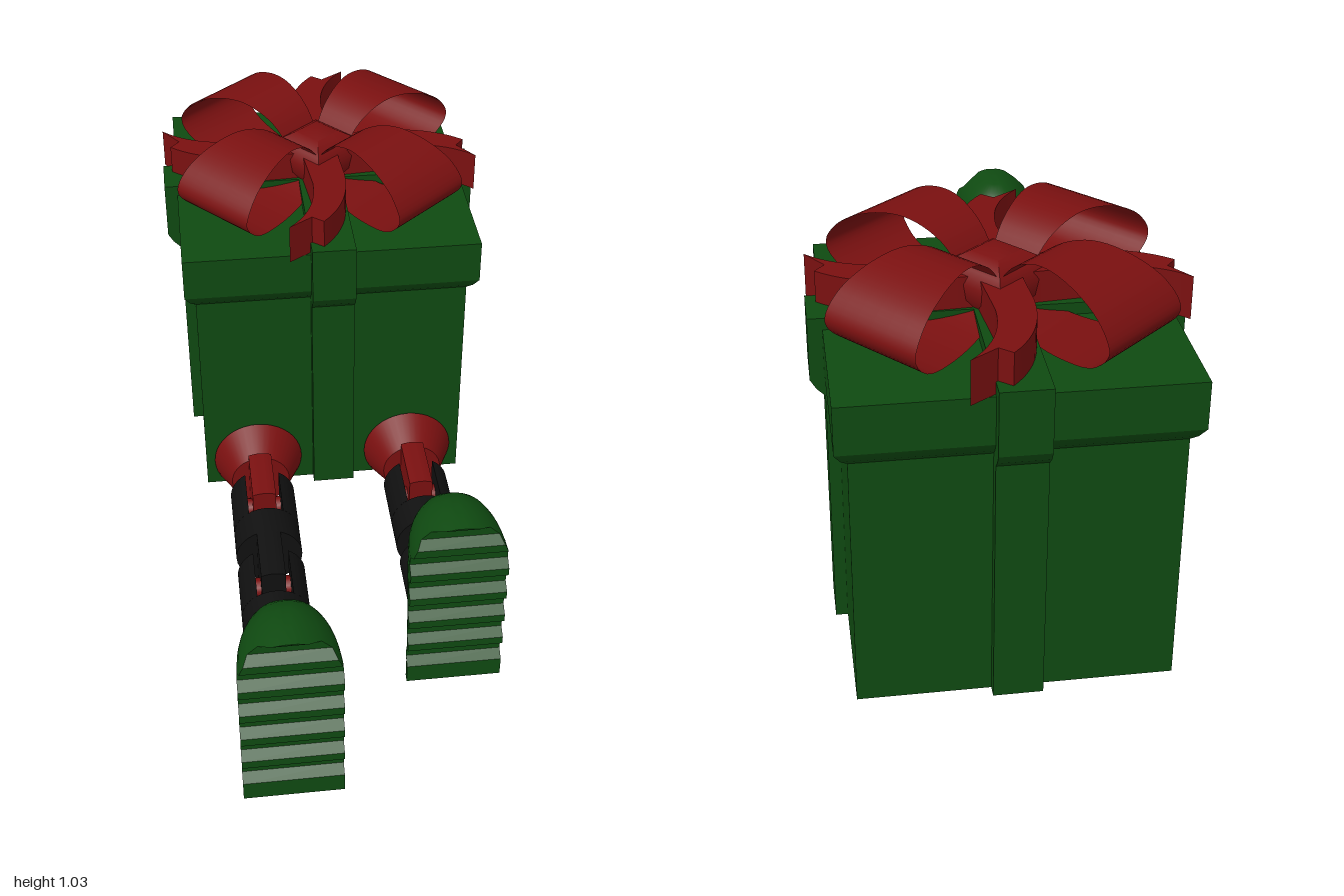
import * as THREE from 'three';
import { toCreasedNormals } from 'three/addons/utils/BufferGeometryUtils.js';
import { ParametricGeometry } from 'three/addons/geometries/ParametricGeometry.js';

const green = new THREE.MeshStandardMaterial({ color: 0x0f4a11 });
const red = new THREE.MeshStandardMaterial({ color: 0x7a1010, side: THREE.DoubleSide });
const black = new THREE.MeshStandardMaterial({ color: 0x101010 });

const BOX_Z = -0.545;
const LEG_R = 0.092;

function add(parent, name, geometry, material) {
  const mesh = new THREE.Mesh(geometry, material);
  mesh.name = name;
  parent.add(mesh);
  return mesh;
}

const points = (list) => list.map(([x, y]) => new THREE.Vector2(x, y));

// Box with a flared lid, plus two ribbon bands that cross over it
function makeBox() {
  const group = new THREE.Group();
  group.name = 'giftBox';
  const profile = points([[0, 0], [0.38, 0], [0.38, 0.66], [0.395, 0.675], [0.41, 0.7], [0.41, 0.82], [0, 0.82]]);
  profile.forEach((p) => { p.x *= Math.SQRT2; });
  const body = new THREE.LatheGeometry(profile, 4).rotateY(Math.PI / 4);
  add(group, 'boxBody', toCreasedNormals(body, 0.3), green);

  const half = [[0.41, 0], [0.41, 0.645], [0.43, 0.665], [0.445, 0.69], [0.445, 0.85]];
  const outline = [...half, ...half.map(([x, y]) => [-x, y]).reverse()];
  for (let i = 0; i < 2; i++) {
    const band = new THREE.ExtrudeGeometry(new THREE.Shape(points(outline)), { depth: 0.12, bevelEnabled: false });
    band.translate(0, 0, -0.06).rotateY(i * Math.PI / 2);
    add(group, 'ribbonBand', band, green);
  }
  return group;
}

// Bow: four teardrop loops, four swallow-tailed ends and a domed square knot
function makeBow() {
  const group = new THREE.Group();
  group.name = 'bow';
  const path = new THREE.CatmullRomCurve3([
    [0.04, 0.9], [0.11, 0.985], [0.2, 1.023], [0.3, 1.012], [0.39, 0.965],
    [0.425, 0.905], [0.38, 0.85], [0.27, 0.825], [0.15, 0.83], [0.04, 0.86],
  ].map(([x, y]) => new THREE.Vector3(x, y, 0)));
  const loop = new ParametricGeometry((u, v, target) => {
    path.getPoint(u, target);
    const halfWidth = 0.05 + 0.085 * Math.min(1, target.x / 0.42);
    target.z = (v * 2 - 1) * halfWidth;
  }, 48, 6);

  const tailShape = new THREE.Shape();
  tailShape.moveTo(-0.05, 0.05);
  tailShape.lineTo(-0.058, 0.18);
  tailShape.quadraticCurveTo(-0.06, 0.33, 0.025, 0.42);
  tailShape.lineTo(0.055, 0.395);
  tailShape.lineTo(0.12, 0.44);
  tailShape.quadraticCurveTo(0.035, 0.36, 0.035, 0.22);
  tailShape.lineTo(0.05, 0.05);
  const tail = toCreasedNormals(
    new THREE.ExtrudeGeometry(tailShape, { depth: 0.11, bevelEnabled: false, curveSegments: 10 })
      .rotateX(-Math.PI / 2).translate(0, 0.82, 0), 0.5);

  for (let i = 0; i < 4; i++) {
    const turn = i * Math.PI / 2;
    add(group, 'bowLoop', loop, red).rotation.y = turn + THREE.MathUtils.degToRad(41.5);
    add(group, 'ribbonTail', tail, red).rotation.y = turn;
  }
  const knot = new THREE.LatheGeometry(points([
    [0.09, 0.83], [0.13, 0.87], [0.137, 0.91], [0.115, 0.945], [0.06, 0.97], [0, 0.978],
  ]), 4);
  add(group, 'knot', toCreasedNormals(knot, 0.6), red).rotation.y = -0.07;
  return group;
}

// A piece of a round bar along z, keeping only x0 < x < x1
function barSlice(x0, x1, z0, z1) {
  const a0 = Math.acos(x1 / LEG_R), a1 = Math.acos(x0 / LEG_R), n = 14;
  const outline = [];
  for (const side of [1, -1]) {
    for (let i = 0; i <= n; i++) {
      const a = side > 0 ? a0 + (a1 - a0) * i / n : -a1 + (a1 - a0) * i / n;
      // skip points that coincide on the bar's own sides
      const p = new THREE.Vector2(Math.cos(a) * LEG_R, Math.sin(a) * LEG_R);
      if (!outline.some((q) => q.distanceTo(p) < 1e-5)) outline.push(p);
    }
  }
  const bar = new THREE.ExtrudeGeometry(new THREE.Shape(outline), { depth: z1 - z0, bevelEnabled: false });
  return toCreasedNormals(bar.translate(0, LEG_R - 0.002, z0), 0.6);
}

// Linked leg segment: forked end, solid middle and a tongue for the next joint
function addLink(leg, z, solidStart, solidEnd, tongueEnd) {
  add(leg, 'legFork', barSlice(0.048, LEG_R, z, solidStart), black);
  add(leg, 'legFork', barSlice(-LEG_R, -0.048, z, solidStart), black);
  add(leg, 'legLink', barSlice(-LEG_R, LEG_R, solidStart, solidEnd), black);
  if (tongueEnd) add(leg, 'legTongue', barSlice(-0.033, 0.033, solidEnd, tongueEnd), black);
  const pin = new THREE.CylinderGeometry(0.028, 0.028, 0.12, 16).rotateZ(Math.PI / 2);
  add(leg, 'jointPin', pin.translate(0, 0.09, z + 0.055), red);
}

// Upright boot with its grooved sole facing forward at z = front
function makeBoot(front) {
  const depth = new THREE.CatmullRomCurve3([
    [0.11, 0], [0.105, 0.07], [0.12, 0.15], [0.155, 0.24], [0.195, 0.32], [0.21, 0.4],
    [0.2, 0.46], [0.17, 0.505], [0.12, 0.528], [0.06, 0.535],
  ].map(([d, y]) => new THREE.Vector3(d, y, 0))).getPoints(120);
  const depthAt = (y) => (depth.find((p) => p.y >= y - 1e-6) || depth[120]).x;

  const levels = [0];
  for (let k = 0; k < 6; k++) {
    const c = 0.085 + k * 0.083;
    levels.push(c - 0.03, c - 0.012, c + 0.012, Math.min(c + 0.03, 0.528));
    if (k < 5) levels.push(c + 0.0415);
  }
  levels.push(0.533, 0.535);
  const groove = (y) => {
    const k = THREE.MathUtils.clamp(Math.round((y - 0.085) / 0.083), 0, 5);
    const d = Math.abs(y - 0.085 - k * 0.083);
    return 0.024 * THREE.MathUtils.clamp((0.03 - d) / 0.018, 0, 1);
  };

  const n = 24, pos = [], index = [];
  const ring = n + 1;
  levels.forEach((y) => {
    const t = Math.max(0, (y - 0.41) / 0.126);
    const w = 0.124 * Math.sqrt(1 - t * t);
    const d = depthAt(y), g = groove(y);
    for (let i = 0; i <= n; i++) {
      const a = Math.PI * i / n, c = Math.cos(a);
      const x = w * Math.sign(c) * Math.pow(Math.abs(c), 0.8);
      const back = d * Math.pow(Math.max(0, Math.sin(a)), 0.8);
      pos.push(x, y, front - Math.max(g, back));
    }
  });
  for (let j = 0; j < levels.length - 1; j++) {
    for (let i = 0; i < ring; i++) {
      const a = j * ring + i, b = j * ring + (i + 1) % ring;
      index.push(a, b, b + ring, a, b + ring, a + ring);
    }
  }
  const top = (levels.length - 1) * ring;
  for (let i = 1; i < n; i++) index.push(0, i + 1, i, top, top + i, top + i + 1);
  const geometry = new THREE.BufferGeometry();
  geometry.setAttribute('position', new THREE.Float32BufferAttribute(pos, 3));
  geometry.setIndex(index);
  return toCreasedNormals(geometry, 0.55);
}

// Leg with a hip collar, a chain of links and a boot
function makeLeg(name, x, linkCount) {
  const leg = new THREE.Group();
  leg.name = name;
  leg.position.x = x;
  const collar = new THREE.CylinderGeometry(LEG_R - 0.008, 0.13, 0.1, 40).rotateX(Math.PI / 2).translate(0, 0.088, -0.11);
  const p = collar.attributes.position;
  for (let i = 0; i < p.count; i++) p.setY(i, Math.max(0, p.getY(i)));
  add(leg, 'hipCollar', collar, red);
  add(leg, 'hipTongue', barSlice(-0.033, 0.033, -0.07, 0.105), red);

  const step = 0.322;
  for (let i = 0; i < linkCount; i++) {
    const z = 0.005 + i * step;
    addLink(leg, z, z + 0.16, z + 0.255, z + 0.42);
  }
  const z = 0.005 + linkCount * step;
  addLink(leg, z, z + 0.16, z + 0.29);
  add(leg, 'boot', makeBoot(z + 0.35), green);
  return leg;
}

export function createModel() {
  const model = new THREE.Group();
  model.name = 'giftBoxWithLegs';
  const box = makeBox();
  box.add(makeBow());
  box.position.z = BOX_Z;
  model.add(box, makeLeg('leftLeg', 0.225, 1), makeLeg('rightLeg', -0.225, 2));
  return model;
}
